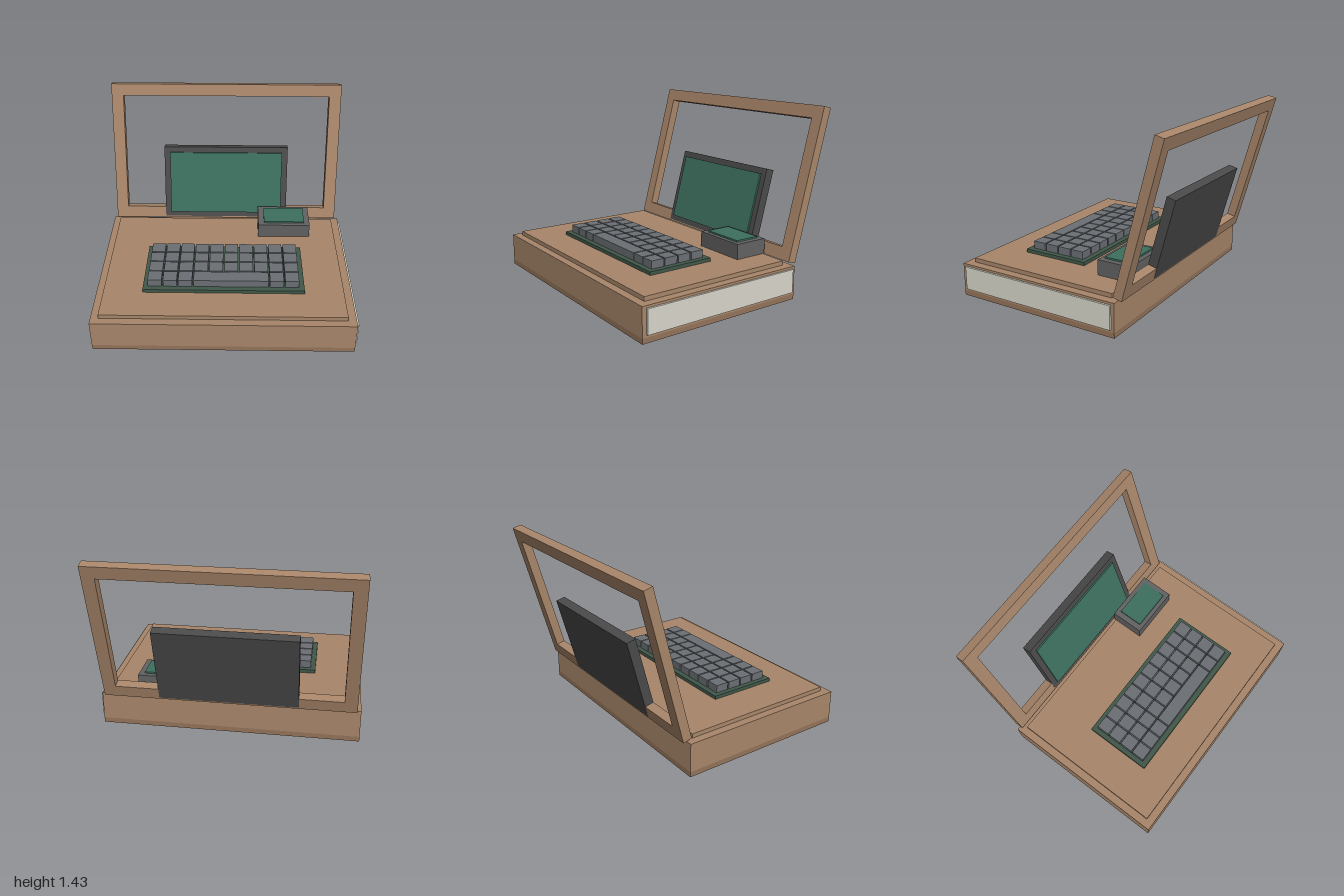
import * as THREE from 'three';

const material = (color) => new THREE.MeshStandardMaterial({ color });

export function createModel() {
  const model = new THREE.Group();
  model.name = 'computer';
  const wood = material(0xa8866a);
  const darkWood = material(0x94745a);
  const bezelGrey = material(0x4a4a4a);
  const boxGrey = material(0x626262);
  const keyGrey = material(0x6b7075);
  const trayGreen = material(0x41584a);
  const screenGreen = material(0x3d705e);
  const panelWhite = material(0xd8d6cb);

  // Box given by its lower and upper limits on each axis
  const addBox = (parent, name, mat, [x0, x1], [y0, y1], [z0, z1]) => {
    const mesh = new THREE.Mesh(new THREE.BoxGeometry(x1 - x0, y1 - y0, z1 - z0), mat);
    mesh.position.set((x0 + x1) / 2, (y0 + y1) / 2, (z0 + z1) / 2);
    mesh.name = name;
    parent.add(mesh);
    return mesh;
  };

  // Wooden case with its top plate and pale side panel
  const base = new THREE.Group();
  base.name = 'base';
  model.add(base);
  addBox(base, 'bottomSlab', darkWood, [-1, 0.985], [0, 0.04], [-0.51, 0.853]);
  addBox(base, 'caseBody', wood, [-1, 0.985], [0.04, 0.26], [-0.51, 0.853]);
  addBox(base, 'topPlate', wood, [-0.94, 0.92], [0.26, 0.293], [-0.452, 0.793]);
  addBox(base, 'sidePanel', panelWhite, [0.985, 1], [0.06, 0.242], [-0.483, 0.82]);

  // Keyboard: four rows of ten keys, with a space bar in the front row
  const keyboard = new THREE.Group();
  keyboard.name = 'keyboard';
  model.add(keyboard);
  addBox(keyboard, 'keyTray', trayGreen, [-0.635, 0.615], [0.293, 0.32], [-0.009, 0.536]);
  const pitch = 0.118, keySize = 0.107, firstX = -0.597, firstZ = 0.033;
  for (let row = 0; row < 4; row++) {
    const z = firstZ + row * pitch;
    for (let col = 0; col < 10; col++) {
      if (row === 3 && col > 3 && col < 8) continue;
      const isSpace = row === 3 && col === 3;
      const x = firstX + col * pitch;
      const width = isSpace ? keySize + 4 * pitch : keySize;
      addBox(keyboard, isSpace ? 'spaceBar' : 'key', keyGrey,
        [x, x + width], [0.32, 0.38], [z, z + keySize]);
    }
  }

  // Small box with a green pad at the back
  const padUnit = new THREE.Group();
  padUnit.name = 'padUnit';
  model.add(padUnit);
  addBox(padUnit, 'padBox', boxGrey, [0.272, 0.705], [0.293, 0.412], [-0.466, -0.192]);
  addBox(padUnit, 'pad', screenGreen, [0.32, 0.66], [0.412, 0.425], [-0.428, -0.226]);

  // Lid leaning back; its origin is the lower front edge
  const lid = new THREE.Group();
  lid.name = 'lid';
  lid.position.set(-0.0085, 0.284, -0.479);
  lid.rotation.x = -THREE.MathUtils.degToRad(15);
  model.add(lid);

  const halfWidth = 0.961, height = 1.182, bar = 0.098, thickness = 0.071;
  const outline = new THREE.Shape([
    new THREE.Vector2(-halfWidth, 0), new THREE.Vector2(halfWidth, 0),
    new THREE.Vector2(halfWidth, height), new THREE.Vector2(-halfWidth, height),
  ]);
  outline.holes.push(new THREE.Path([
    new THREE.Vector2(bar - halfWidth, bar), new THREE.Vector2(bar - halfWidth, height - bar),
    new THREE.Vector2(halfWidth - bar, height - bar), new THREE.Vector2(halfWidth - bar, bar),
  ]));
  const frame = new THREE.Mesh(
    new THREE.ExtrudeGeometry(outline, { depth: thickness, bevelEnabled: false }), wood);
  frame.name = 'lidFrame';
  frame.position.z = -thickness;
  lid.add(frame);

  // Screen set into the lid
  addBox(lid, 'screenBezel', bezelGrey, [-0.53, 0.53], [0.012, 0.643], [-thickness - 0.001, 0.001]);
  addBox(lid, 'screen', screenGreen, [-0.481, 0.481], [0.055, 0.596], [0.001, 0.015]);

  return model;
}
